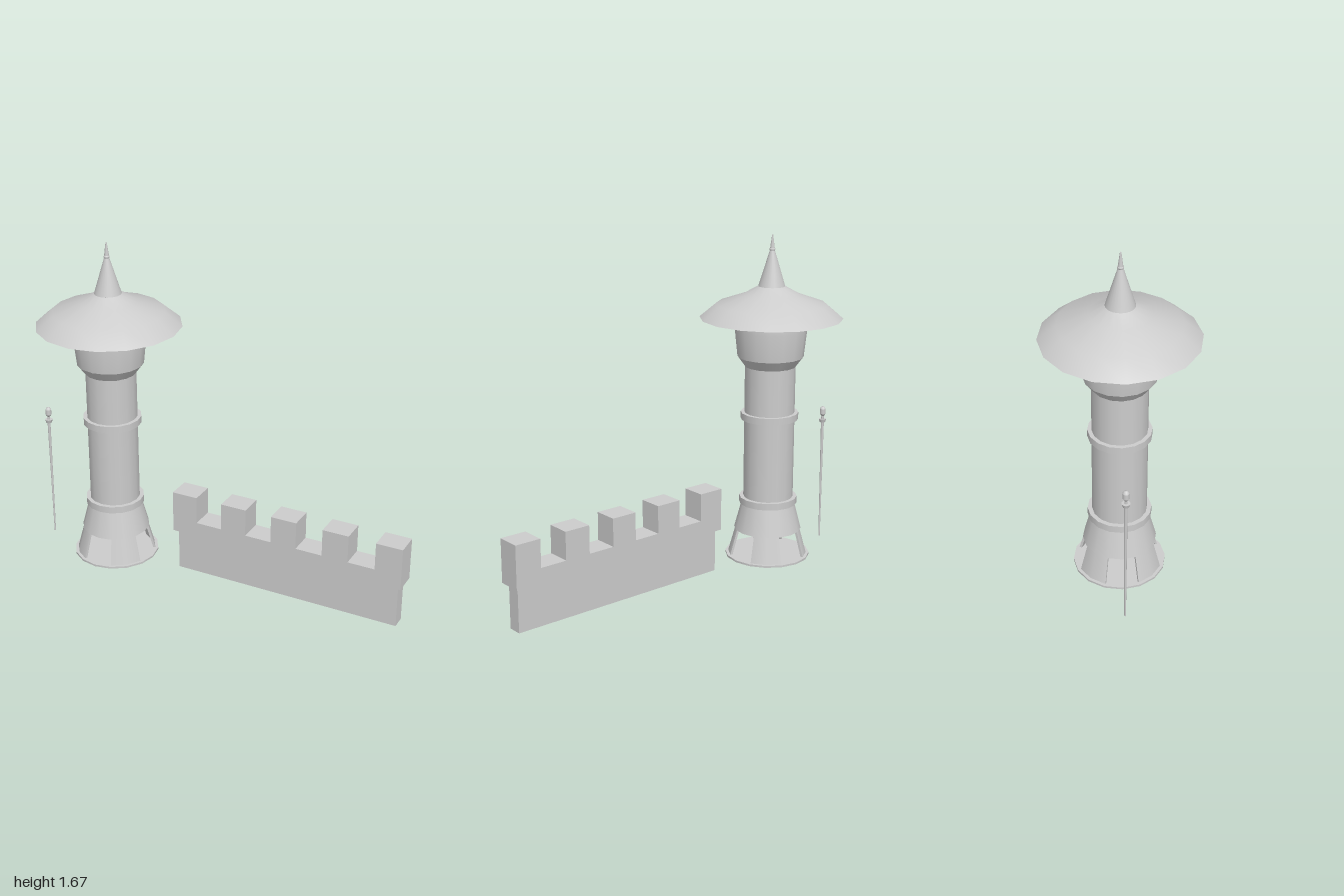
import * as THREE from 'three';

export function createModel() {
  const model = new THREE.Group();
  model.name = 'castleParts';
  // Double-sided because the base pillars and their reveals are open surfaces
  const stone = new THREE.MeshStandardMaterial({ color: 0xcccccc, side: THREE.DoubleSide });
  stone.name = 'stone';

  const add = (parent, name, geometry, x = 0, y = 0, z = 0) => {
    const mesh = new THREE.Mesh(geometry, stone);
    mesh.name = name;
    mesh.position.set(x, y, z);
    parent.add(mesh);
    return mesh;
  };
  const group = (name, x) => {
    const g = new THREE.Group();
    g.name = name;
    g.position.x = x;
    model.add(g);
    return g;
  };
  // Turned part: each band is smooth, edges between bands stay sharp
  const turned = (parent, name, sides, bands, start = 0, sweep = Math.PI * 2) => {
    const part = new THREE.Group();
    part.name = name;
    for (const band of bands) {
      const points = band.map(([r, y]) => new THREE.Vector2(r, y));
      add(part, name + 'Band', new THREE.LatheGeometry(points, sides, start, sweep));
    }
    parent.add(part);
    return part;
  };
  // Closed drum or truncated cone
  const drum = (parent, name, sides, r0, y0, r1, y1) => turned(parent, name, sides, [
    [[0, y0], [r0, y0]], [[r0, y0], [r1, y1]], [[r1, y1], [0, y1]],
  ]);

  // Tower
  const tower = group('tower', -0.59);
  drum(tower, 'footPlate', 16, 0.218, 0, 0.218, 0.01);

  // Four tapered pillars with openings facing the four sides
  const section = [[0.203, 0.01], [0.166, 0.147], [0.154, 0.147], [0.191, 0.01]];
  const reveal = new THREE.ShapeGeometry(new THREE.Shape(section.map(p => new THREE.Vector2(...p))));
  for (let i = 0; i < 4; i++) {
    const start = Math.PI / 8 + i * Math.PI / 2;
    const pillar = turned(tower, 'basePillar', 2,
      [section.slice(0, 2), section.slice(2)], start, Math.PI / 4);
    for (const angle of [start, start + Math.PI / 4]) {
      add(pillar, 'pillarReveal', reveal).rotation.y = angle - Math.PI / 2;
    }
  }

  drum(tower, 'skirt', 16, 0.173, 0.145, 0.135, 0.29);
  drum(tower, 'lowerRing', 16, 0.149, 0.285, 0.149, 0.32);
  drum(tower, 'shaft', 16, 0.128, 0.29, 0.128, 1.01);
  drum(tower, 'upperRing', 16, 0.147, 0.735, 0.147, 0.77);

  turned(tower, 'lookout', 16, [
    [[0, 1.01], [0.13, 1.01]],
    [[0.13, 1.01], [0.167, 1.06]],
    [[0.167, 1.06], [0.182, 1.2], [0.17, 1.26]],
  ]);

  turned(tower, 'roof', 16, [
    [[0, 1.257], [0.36, 1.257]],
    [[0.36, 1.257], [0.277, 1.327], [0.142, 1.375], [0.067, 1.417]],
  ]);
  drum(tower, 'spire', 24, 0.067, 1.417, 0.011, 1.6);
  const knob = add(tower, 'knob', new THREE.SphereGeometry(0.015, 12, 8), 0, 1.6, 0);
  knob.scale.y = 0.7;
  drum(tower, 'needle', 12, 0.012, 1.605, 0.003, 1.672);

  // Battlement wall
  const wall = group('wall', 0);
  add(wall, 'wallBody', new THREE.BoxGeometry(1.175, 0.222, 0.07), 0.3925, 0.125, 0);
  add(wall, 'parapet', new THREE.BoxGeometry(1.213, 0.075, 0.12), 0.3935, 0.2725, 0);
  for (let i = 0; i < 5; i++) {
    add(wall, 'merlon', new THREE.BoxGeometry(0.133, 0.14, 0.12), -0.1465 + i * 0.27, 0.38, 0);
  }

  // Slim pole with a collar and a capped head
  const pole = group('pole', -0.98);
  drum(pole, 'poleShaft', 10, 0.004, 0, 0.008, 0.645);
  drum(pole, 'poleCollar', 12, 0.015, 0.643, 0.02, 0.66);
  drum(pole, 'poleNeck', 10, 0.007, 0.66, 0.007, 0.685);
  turned(pole, 'poleHead', 12, [
    [[0, 0.677], [0.008, 0.677], [0.015, 0.688]],
    [[0.015, 0.688], [0.015, 0.715]],
    [[0.015, 0.715], [0.009, 0.726], [0, 0.728]],
  ]);

  return model;
}
